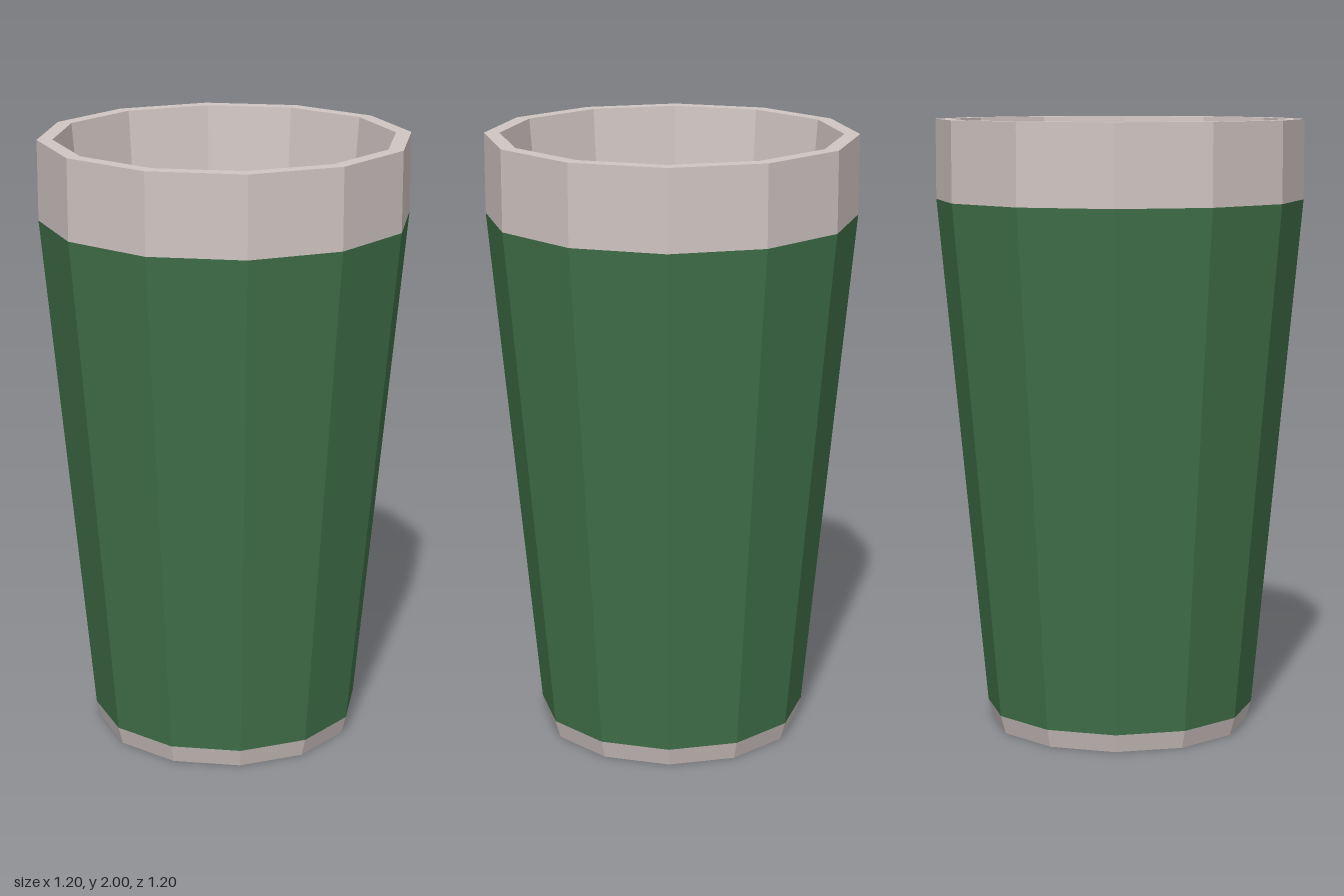
import * as THREE from 'three';

const SIDES = 12;

// Faceted ring swept from [radius, height] points; upward profiles face outward.
function ring(name, profile, material) {
  const points = profile.map(([r, y]) => new THREE.Vector2(r, y));
  const geometry = new THREE.LatheGeometry(points, SIDES).toNonIndexed();
  geometry.computeVertexNormals();
  const mesh = new THREE.Mesh(geometry, material);
  mesh.name = name;
  return mesh;
}

// Flat twelve-sided disc facing up (1) or down (-1).
function disc(name, radius, y, facing, material) {
  const geometry = new THREE.CircleGeometry(radius, SIDES);
  geometry.rotateX(-facing * Math.PI / 2);
  const mesh = new THREE.Mesh(geometry, material);
  mesh.name = name;
  mesh.position.y = y;
  return mesh;
}

export function createModel() {
  const cream = new THREE.MeshStandardMaterial({ color: 0xd0c5c2 });
  cream.name = 'warm grey';
  const green = new THREE.MeshStandardMaterial({ color: 0x407049 });
  green.name = 'green';

  const cup = new THREE.Group();
  cup.name = 'cup';
  cup.add(
    // Underside and bevelled foot
    disc('underside', 0.425, 0, -1, cream),
    ring('foot', [[0.425, 0], [0.442, 0.06]], cream),
    // Tapered sleeve
    ring('sleeve', [[0.442, 0.06], [0.6, 1.74]], green),
    // Upright collar, flat lip and tapered inner wall
    ring('collar', [[0.6, 1.74], [0.6, 2]], cream),
    ring('lip', [[0.6, 2], [0.55, 2]], cream),
    ring('innerWall', [[0.55, 2], [0.385, 0.06]], cream),
    disc('innerFloor', 0.385, 0.06, 1, cream),
  );
  return cup;
}
